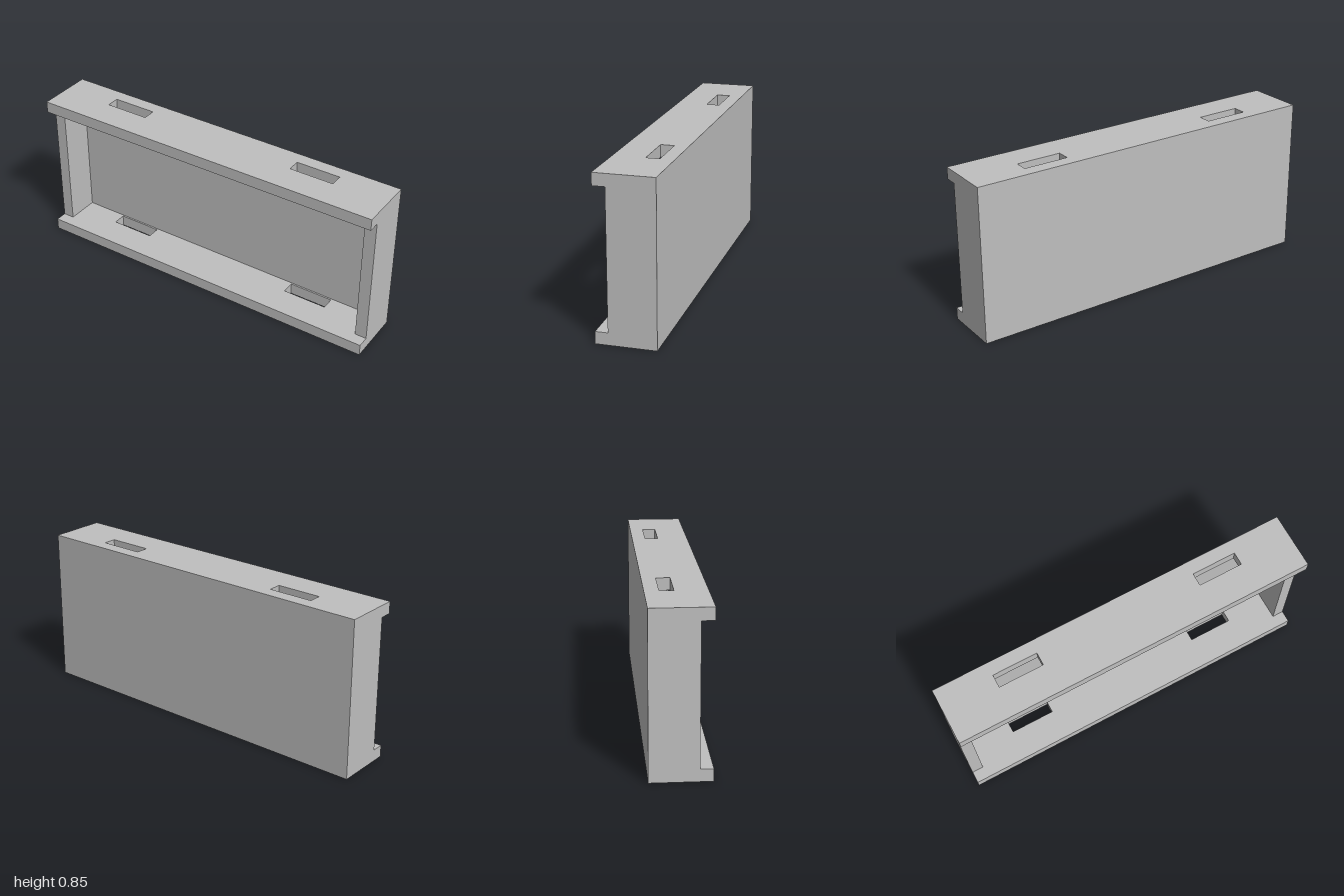
import * as THREE from 'three';

const H = 0.853, D = 0.31, T = 0.064; // height, depth, board thickness
const SIDE_FRONT = 0.09; // front edge of the recessed side boards

// Rectangle corners, counter-clockwise
const rect = (x0, x1, y0, y1) => [[x0, y0], [x1, y0], [x1, y1], [x0, y1]]
  .map(([x, y]) => new THREE.Vector2(x, y));

export function createModel() {
  const group = new THREE.Group();
  const grey = new THREE.MeshStandardMaterial({ color: 0xbfbfbf });
  grey.name = 'light grey';

  const add = (name, geometry, x, y, z) => {
    const mesh = new THREE.Mesh(geometry, grey);
    mesh.name = name;
    mesh.position.set(x, y, z);
    group.add(mesh);
  };

  // Top and bottom boards, each with two slots cut through
  const board = new THREE.Shape(rect(-1, 1, -D / 2, D / 2));
  for (const [x0, x1] of [[-0.698, -0.452], [0.452, 0.698]]) {
    board.holes.push(new THREE.Path(rect(x0, x1, 0.011, 0.082).reverse()));
  }
  const boardGeometry = new THREE.ExtrudeGeometry(board, { depth: T, bevelEnabled: false });
  boardGeometry.rotateX(-Math.PI / 2);
  add('bottomBoard', boardGeometry, 0, 0, 0);
  add('topBoard', boardGeometry, 0, H - T, 0);

  // Side boards, set back from the front
  const inner = H - 2 * T;
  const sideDepth = SIDE_FRONT + D / 2;
  const sideGeometry = new THREE.BoxGeometry(T, inner, sideDepth);
  for (const [name, s] of [['leftSide', 1], ['rightSide', -1]]) {
    add(name, sideGeometry, s * (1 - T / 2), H / 2, SIDE_FRONT - sideDepth / 2);
  }

  // Back panel between the sides
  add('backPanel', new THREE.BoxGeometry(2 - 2 * T, inner, T), 0, H / 2, -D / 2 + T / 2);

  return group;
}
